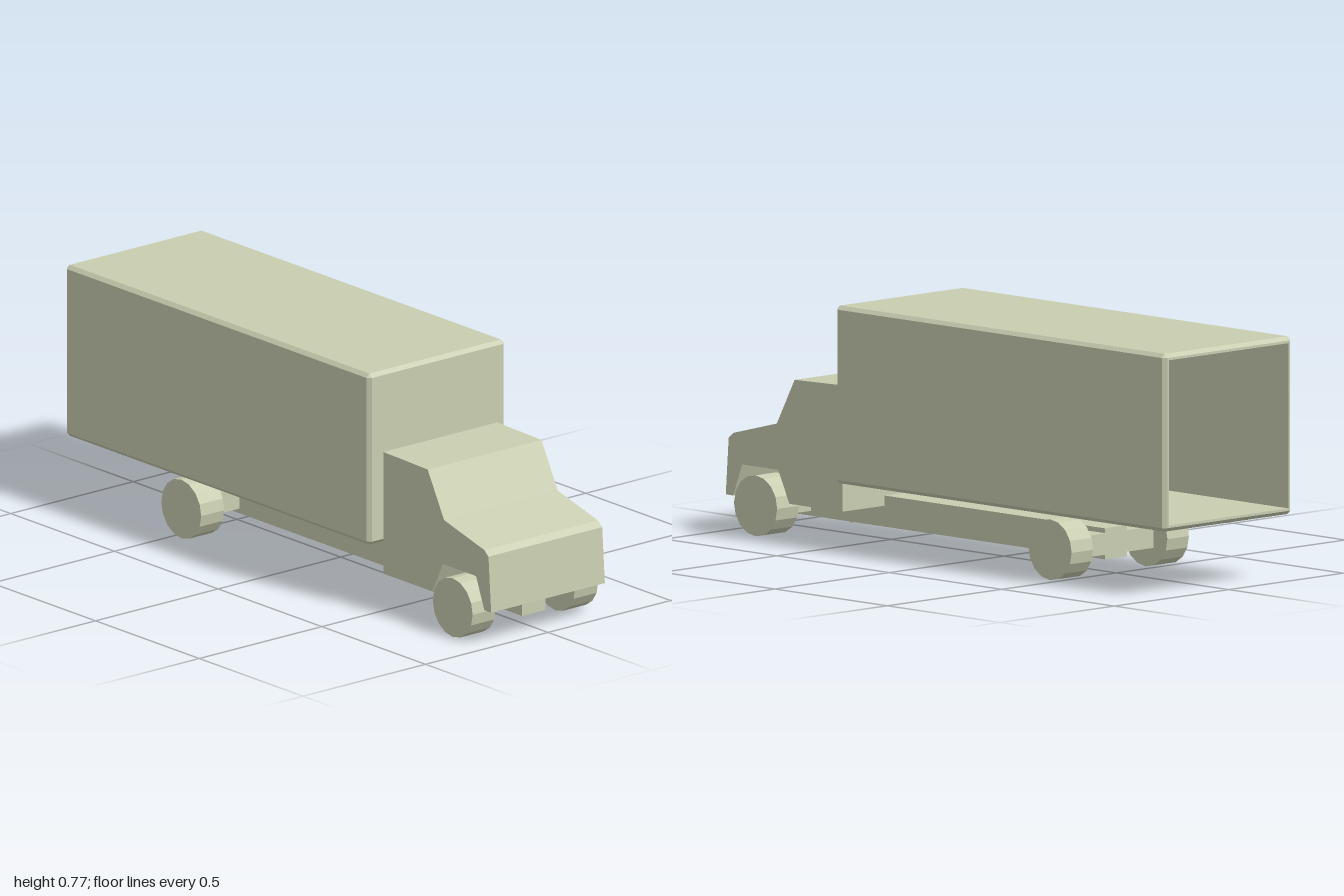
import * as THREE from 'three';

const material = new THREE.MeshStandardMaterial({ color: 0xc9ceb1, flatShading: true });

function add(parent, name, geometry, x = 0, y = 0, z = 0) {
  const mesh = new THREE.Mesh(geometry, material);
  mesh.name = name;
  mesh.position.set(x, y, z);
  parent.add(mesh);
}

// Rectangle in the y-z plane with its corners cut by c
function ring(x, h, w, c) {
  return [
    [x, h, w - c], [x, h - c, w], [x, -h + c, w], [x, -h, w - c],
    [x, -h, -w + c], [x, -h + c, -w], [x, h - c, -w], [x, h, -w + c],
  ];
}

// Skin a chain of equal-length rings, skipping triangles without area
function loft(rings) {
  const n = rings[0].length, points = [];
  const same = (p, q) => p.every((v, k) => v === q[k]);
  const triangle = (a, b, c) => {
    if (!same(a, b) && !same(b, c) && !same(c, a)) points.push(a, b, c);
  };
  for (let r = 0; r < rings.length - 1; r++) {
    for (let i = 0; i < n; i++) {
      const j = (i + 1) % n;
      triangle(rings[r][i], rings[r][j], rings[r + 1][i]);
      triangle(rings[r][j], rings[r + 1][j], rings[r + 1][i]);
    }
  }
  const geometry = new THREE.BufferGeometry();
  geometry.setAttribute('position', new THREE.Float32BufferAttribute(points.flat(), 3));
  geometry.computeVertexNormals();
  return geometry;
}

export function createModel() {
  const truck = new THREE.Group();
  truck.name = 'boxTruck';

  // Hollow cargo box, open at the rear, with chamfered outer edges
  const back = -1, front = 0.467, h = 0.28, w = 0.28, bevel = 0.012, wall = 0.02;
  add(truck, 'cargoBox', loft([
    ring(front - wall, 0, 0, 0),
    ring(front - wall, h - wall, w - wall, 0),
    ring(back, h - wall, w - wall, 0),
    ring(back, h - bevel, w - bevel, 0),
    ring(back + bevel, h, w, bevel),
    ring(front - bevel, h, w, bevel),
    ring(front, h - bevel, w - bevel, 0),
    ring(front, 0, 0, 0),
  ]), 0, 0.489, 0);

  // Cab: side profile with windscreen, bonnet and wheel arch
  const profile = [
    [0.481, 0.113], [0.717, 0.113], [0.767, 0.215], [0.927, 0.215], [0.967, 0.113], [1, 0.113],
    [0.987, 0.293], [0.967, 0.31], [0.773, 0.36], [0.694, 0.506], [0.481, 0.511],
  ].map(([x, y]) => new THREE.Vector2(x, y));
  const cabWidth = 0.464;
  add(truck, 'cab', new THREE.ExtrudeGeometry(new THREE.Shape(profile),
    { depth: cabWidth, bevelEnabled: false }), 0, 0, -cabWidth / 2);

  // Chassis beam
  add(truck, 'chassisBeam', new THREE.BoxGeometry(1.43, 0.098, 0.096), 0.217, 0.096, 0);

  // Axles with a wheel at each end
  const wheel = new THREE.CylinderGeometry(0.096, 0.096, 0.094, 16).rotateX(Math.PI / 2);
  for (const [end, x] of [['rear', -0.466], ['front', 0.843]]) {
    add(truck, end + 'Axle', new THREE.BoxGeometry(0.068, 0.068, 0.34), x, 0.096, 0);
    for (const [side, s] of [['Left', -1], ['Right', 1]]) {
      add(truck, end + 'Wheel' + side, wheel, x, 0.096, s * 0.209);
    }
  }
  return truck;
}
